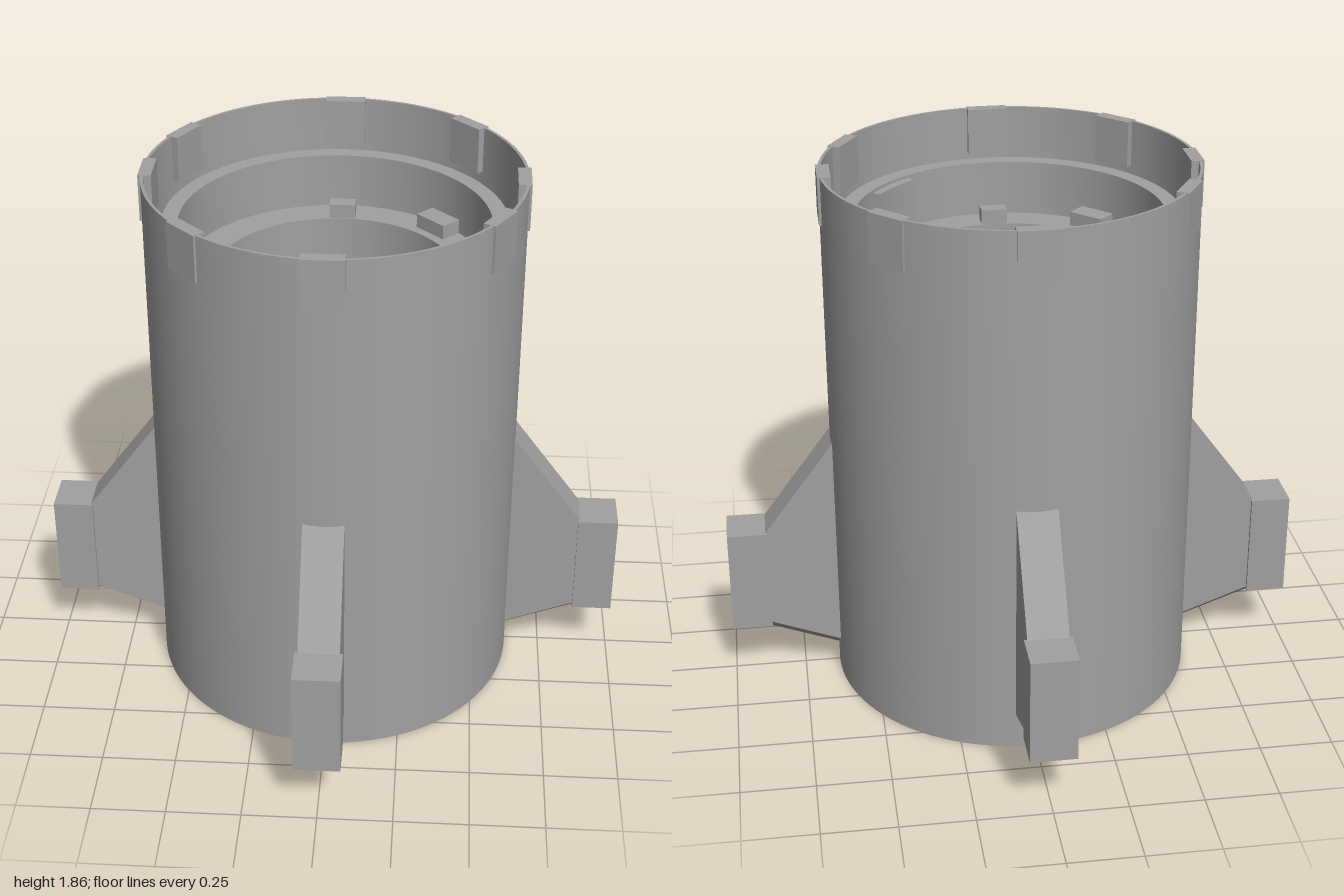
import * as THREE from 'three';
import { toCreasedNormals } from 'three/addons/utils/BufferGeometryUtils.js';

export function createModel() {
  const model = new THREE.Group();
  model.name = 'finnedCollar';
  const grey = new THREE.MeshStandardMaterial({ color: 0xa0a0a0 });
  grey.name = 'grey';

  const add = (name, geometry, parent = model) => {
    const mesh = new THREE.Mesh(geometry, grey);
    mesh.name = name;
    parent.add(mesh);
    return mesh;
  };

  // Hollow body: straight outside, thin rim, chamfered ledge, inner floor and bore
  const profile = [
    [0.405, 0], [0.627, 0], [0.627, 1.86], [0.617, 1.86], [0.617, 1.61],
    [0.57, 1.69], [0.515, 1.69], [0.515, 1.5], [0.405, 1.5], [0.405, 0],
  ].map(([r, y]) => new THREE.Vector2(r, y));
  add('body', toCreasedNormals(new THREE.LatheGeometry(profile, 96), 0.4));

  // Curved panel on the inner wall
  const panel = new THREE.Shape();
  panel.absarc(0, 0, 0.52, -0.95, -0.57, false);
  panel.absarc(0, 0, 0.485, -0.57, -0.95, true);
  const panelGeometry = new THREE.ExtrudeGeometry(panel, { depth: 0.15, bevelEnabled: false, curveSegments: 12 });
  panelGeometry.rotateX(-Math.PI / 2);
  add('innerPanel', panelGeometry).position.y = 1.53;

  // A block spanning a radius range, turned about the axis (0 degrees is +x, 90 is +z)
  const radialBlock = (name, degrees, r0, r1, y0, y1, width) => {
    const g = new THREE.BoxGeometry(r1 - r0, y1 - y0, width);
    g.translate((r0 + r1) / 2, (y0 + y1) / 2, 0);
    add(name, g).rotation.y = -THREE.MathUtils.degToRad(degrees);
  };

  // Tabs set into the top rim
  for (const a of [0, 90, 180, 270, 30, 210, 135, 315]) {
    radialBlock('rimTab', a, 0.588, 0.632, 1.7, 1.861, 0.136);
  }
  // Small tabs around the bore on the inner floor
  for (const a of [0, 90, 180, 270]) radialBlock('boreTab', a, 0.408, 0.46, 1.45, 1.55, 0.09);
  for (const a of [135, 315]) radialBlock('boreTab', a, 0.435, 0.51, 1.45, 1.55, 0.13);

  // Fin: five-sided cross-sections [radius, top, side bottom, keel bottom]
  const sections = [
    [0.59, 0.955, 0.115, 0.06],
    [0.865, 0.582, 0.22, 0.163],
    [0.885, 0.555, 0.228, 0.168],
    [0.91, 0.53, 0.25, 0.21],
  ];
  const w = 0.068;
  const positions = [];
  for (const [r, top, side, keel] of sections) {
    positions.push(r, top, -w, r, top, w, r, side, w, r, keel, 0, r, side, -w);
  }
  const index = [];
  for (let s = 0; s < sections.length - 1; s++) {
    for (let i = 0; i < 5; i++) {
      const a = s * 5 + i, b = s * 5 + (i + 1) % 5;
      index.push(a, b, a + 5, b, b + 5, a + 5);
    }
  }
  const last = (sections.length - 1) * 5;
  for (let i = 1; i < 4; i++) {
    index.push(0, i + 1, i);
    index.push(last, last + i, last + i + 1);
  }
  let finGeometry = new THREE.BufferGeometry();
  finGeometry.setAttribute('position', new THREE.Float32BufferAttribute(positions, 3));
  finGeometry.setIndex(index);
  finGeometry = finGeometry.toNonIndexed();
  finGeometry.computeVertexNormals();

  // Four fins, each carrying an upright foot pad
  const padGeometry = new THREE.BoxGeometry(0.138, 0.372, 0.156);
  padGeometry.translate(0.931, 0.393, 0);
  for (let i = 0; i < 4; i++) {
    const arm = new THREE.Group();
    arm.name = 'finArm';
    arm.rotation.y = i * Math.PI / 2;
    add('fin', finGeometry, arm);
    add('footPad', padGeometry, arm);
    model.add(arm);
  }
  return model;
}
